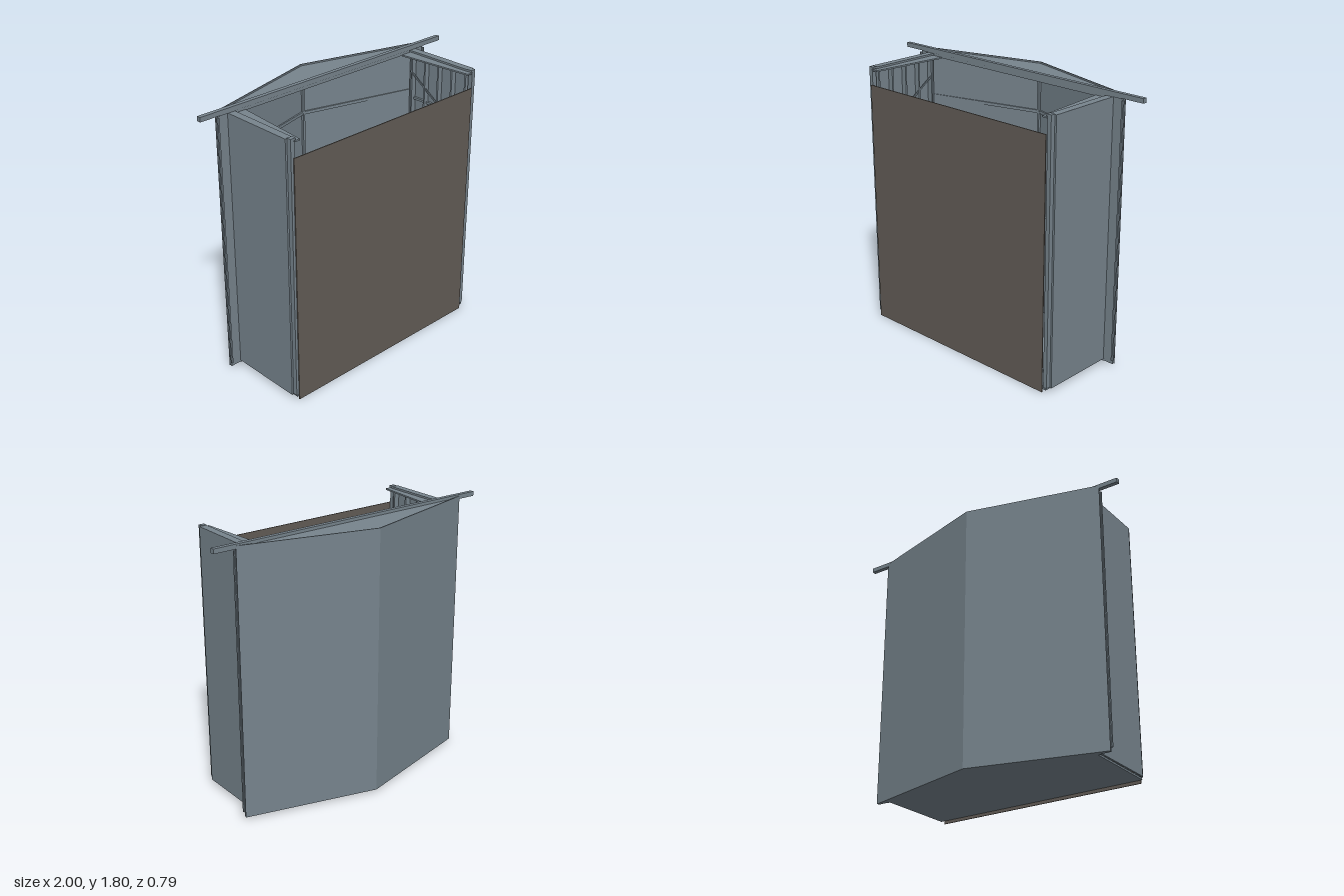
import * as THREE from 'three';

export function createModel() {
  const model = new THREE.Group();
  model.name = 'shelter';
  const slate = new THREE.MeshStandardMaterial({ color: 0x77848d, side: THREE.DoubleSide });
  slate.name = 'slate sheet';
  const brown = new THREE.MeshStandardMaterial({ color: 0x625c56, side: THREE.DoubleSide });
  brown.name = 'brown panel';

  const add = (geo, name, mat = slate) => {
    const mesh = new THREE.Mesh(geo, mat);
    mesh.name = name;
    model.add(mesh);
    return mesh;
  };
  // box given by its limits on each axis
  const box = (name, x0, x1, y0, y1, z0, z1, mat) => {
    const mesh = add(new THREE.BoxGeometry(Math.abs(x1 - x0), y1 - y0, z1 - z0), name, mat);
    mesh.position.set((x0 + x1) / 2, (y0 + y1) / 2, (z0 + z1) / 2);
    return mesh;
  };
  // plan outline of [x, z] points raised from y0 to y1
  const slab = (name, pts, y0, y1) => {
    const shape = new THREE.Shape(pts.map(([x, z]) => new THREE.Vector2(x, -z)));
    const geo = new THREE.ExtrudeGeometry(shape, { depth: y1 - y0, bevelEnabled: false });
    geo.rotateX(-Math.PI / 2);
    geo.translate(0, y0, 0);
    return add(geo, name);
  };

  const C = -0.01; // middle of the body

  // folded back wall with its lid and floor
  const band = (name, inset, t, y0, y1) => {
    const w = 0.863 - inset * 1.2, w2 = w - t * 3;
    const p = -0.398 + inset, q = -0.165;
    slab(name, [[C - w, q], [C, p], [C + w, q], [C + w2, q], [C, p + t], [C - w2, q]], y0, y1);
  };
  band('backWall', 0, 0.008, 0.02, 1.79);
  band('backRail', 0.008, 0.012, 1.45, 1.47);
  band('backRail', 0.008, 0.012, 0.74, 0.76);
  box('backPost', C - 0.008, C + 0.008, 0.03, 1.765, -0.39, -0.372);
  const vee = [[C - 0.85, -0.165], [C, -0.393], [C + 0.85, -0.165]];
  slab('backLid', [...vee, [C + 0.85, -0.14], [C - 0.85, -0.14]], 1.765, 1.78);
  slab('floor', [...vee, [C + 0.77, -0.14], [C + 0.765, 0.385], [C - 0.765, 0.385], [C - 0.77, -0.14]], 0.02, 0.032);

  // long top bar with a thinner lip below
  box('topBar', -1, 1, 1.77, 1.8, -0.163, -0.135);
  box('topLip', C - 0.78, C + 0.78, 1.745, 1.77, -0.16, -0.145);

  for (const s of [-1, 1]) {
    const X = (d) => C + s * d;
    const part = (name, a, b, ...rest) => box(name, X(a), X(b), ...rest);

    // flange joining back and side walls
    part('flange', 0.765, 0.858, 0.02, 1.77, -0.165, -0.148);
    part('flangeEdge', 0.854, 0.865, 0.05, 1.755, -0.148, -0.135);

    // side wall skin, front post and caps
    part('sideSkin', 0.773, 0.785, 0.03, 1.755, -0.148, 0.357);
    part('sideCap', 0.735, 0.785, 1.753, 1.765, -0.148, 0.357);
    part('frontPost', 0.745, 0.772, 0.035, 1.765, 0.355, 0.386);
    part('frontPostCap', 0.735, 0.772, 1.755, 1.768, 0.355, 0.386);
    slab('sideLedge', [[X(0.74), -0.14], [X(0.658), -0.14], [X(0.703), 0.385], [X(0.74), 0.385]], 1.742, 1.752);

    // inner frame: studs, rails and crossed braces
    for (let i = 0; i < 5; i++) {
      const z = -0.13 + i * 0.115;
      part('stud', 0.737, 0.773, 0.032, 1.745, z, z + 0.012);
    }
    for (let i = 1; i < 5; i++) {
      part('sideRail', 0.757, 0.773, i * 0.355, i * 0.355 + 0.015, -0.13, 0.355);
    }
    for (let i = 0; i < 4; i++) {
      const brace = add(new THREE.BoxGeometry(0.008, 0.01, 0.6), 'brace');
      brace.position.set(X(0.745), 0.25 + i * 0.4, 0.11);
      brace.rotation.x = i % 2 ? 0.6 : -0.6;
    }
  }

  // front panel, hanging slightly below the floor
  box('frontPanel', -0.765, 0.73, 0, 1.65, 0.387, 0.393, brown);

  // floor rail, low dividers and a corner box
  box('floorRail', -0.7, 0.68, 0.032, 0.045, 0.24, 0.246);
  for (const x of [-0.54, -0.27, 0, 0.26]) box('divider', x - 0.003, x + 0.003, 0.032, 0.06, 0.1, 0.385);
  box('cornerBox', -0.685, -0.5, 0.18, 0.37, 0.2, 0.386);
  return model;
}
